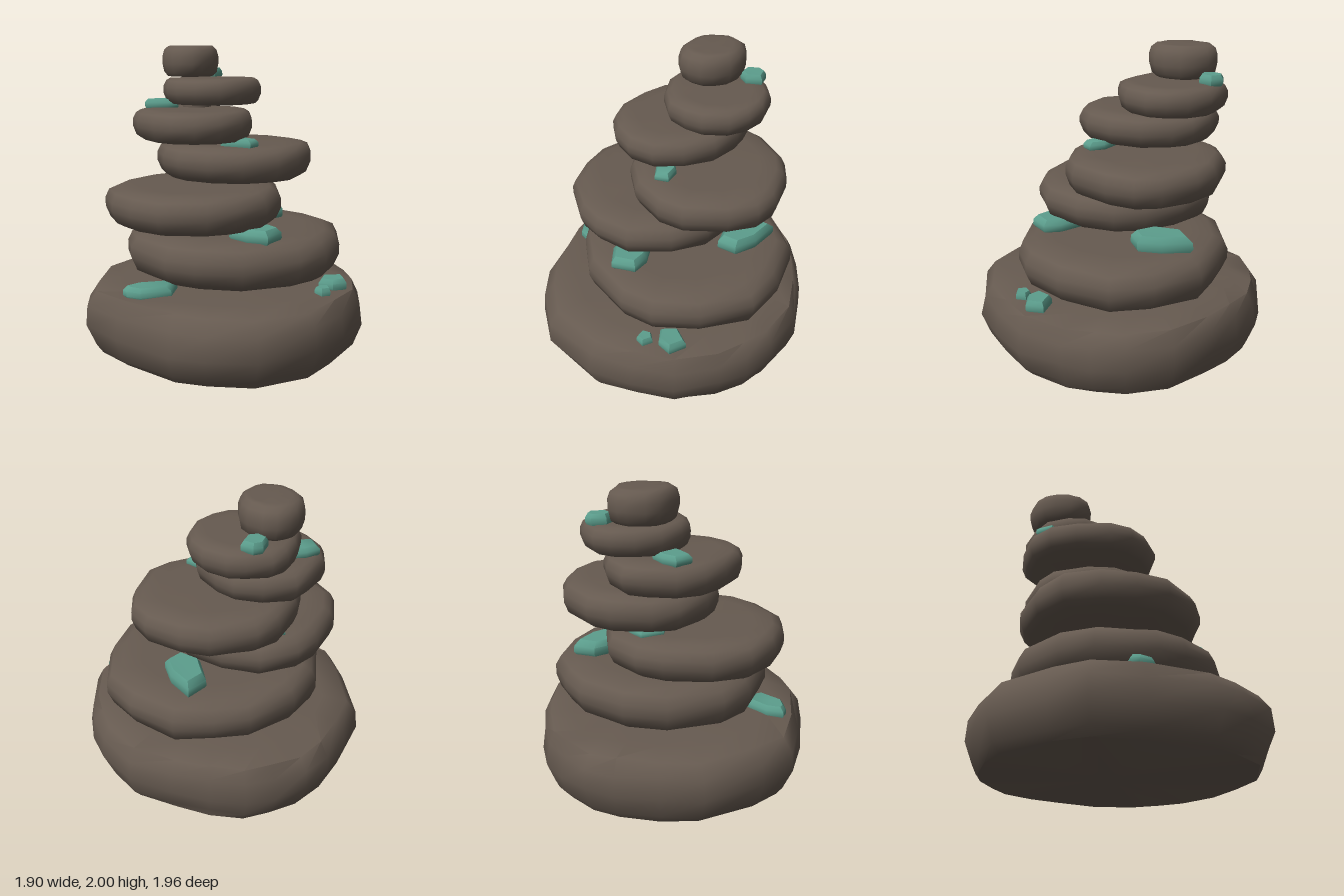
import * as THREE from 'three';
import { toCreasedNormals } from 'three/addons/utils/BufferGeometryUtils.js';

const stoneMat = new THREE.MeshStandardMaterial({ color: 0x665a50 });
stoneMat.name = 'brown stone';
const crystalMat = new THREE.MeshStandardMaterial({ color: 0x5c9e8d });
crystalMat.name = 'teal crystal';

// small seeded number source
function seeded(seed) {
  let s = seed * 7919 + 13;
  return () => (s = (s * 16807) % 2147483647) / 2147483647;
}

// Stacks scaled copies of an outline ([x, z], turning from +x to +z) along a
// profile of [scale, height 0..1]; both ends are closed with a fan.
function loft(outline, profile, y0, y1, crease, wobble = () => 0) {
  const n = outline.length;
  const cx = outline.reduce((s, p) => s + p[0], 0) / n;
  const cz = outline.reduce((s, p) => s + p[1], 0) / n;
  const pos = [], index = [];
  profile.forEach(([r, h], j) => {
    for (const [x, z] of outline) {
      const inner = j > 0 && j < profile.length - 1;
      const k = r < 1 ? r + wobble() : r;
      const dy = inner ? wobble() * 2 : 0;
      pos.push(cx + (x - cx) * k, y0 + (y1 - y0) * Math.min(1, Math.max(0, h + dy)), cz + (z - cz) * k);
    }
  });
  for (let j = 0; j < profile.length - 1; j++) {
    for (let i = 0; i < n; i++) {
      const a = j * n + i, b = j * n + (i + 1) % n;
      index.push(a, a + n, b, b, a + n, b + n);
    }
  }
  const last = (profile.length - 1) * n, low = profile.length * n;
  pos.push(cx, y0, cz, cx, y1 - (y1 - y0) * 0.02, cz);
  for (let i = 0; i < n; i++) {
    const k = (i + 1) % n;
    index.push(low, i, k, low + 1, last + k, last + i);
  }
  const g = new THREE.BufferGeometry();
  g.setAttribute('position', new THREE.Float32BufferAttribute(pos, 3));
  g.setIndex(index);
  return toCreasedNormals(g, crease);
}

// Uneven round outline that exactly fills the given x and z ranges
function pebbleOutline([x0, x1], [z0, z1], seed) {
  const rnd = seeded(seed), pts = [], n = 15;
  for (let i = 0; i < n; i++) {
    const a = ((i + (rnd() - 0.5) * 0.4) / n) * Math.PI * 2;
    const r = 1 + (rnd() - 0.5) * 0.07;
    pts.push([Math.cos(a) * r, Math.sin(a) * r]);
  }
  const fit = (k, lo, hi) => {
    const v = pts.map((p) => p[k]), min = Math.min(...v), max = Math.max(...v);
    pts.forEach((p) => { p[k] = lo + ((p[k] - min) / (max - min)) * (hi - lo); });
  };
  fit(0, x0, x1);
  fit(1, z0, z1);
  return pts;
}

const baseOutline = [
  [0.95, 0], [0.92, 0.2], [0.82, 0.49], [0.62, 0.7], [0.39, 0.88], [0, 0.98], [-0.3, 0.89],
  [-0.5, 0.78], [-0.78, 0.43], [-0.95, 0.15], [-0.93, -0.1], [-0.82, -0.51], [-0.63, -0.7],
  [-0.41, -0.88], [-0.22, -0.96], [0, -0.98], [0.19, -0.96], [0.4, -0.85], [0.6, -0.7],
  [0.82, -0.49], [0.93, -0.21],
];
const baseProfile = [[0.9, 0], [0.94, 0.12], [1, 0.45], [0.98, 0.75], [0.92, 0.95], [0.74, 1]];
const pebbleProfile = [[0.87, 0], [0.95, 0.12], [1, 0.42], [1, 0.65], [0.95, 0.88], [0.86, 0.98], [0.66, 1]];
const crownProfile = [[0.8, 0], [0.93, 0.12], [1, 0.4], [1, 0.65], [0.93, 0.87], [0.78, 0.98], [0.6, 1]];
const crystalProfile = [[0.9, 0], [1, 0.25], [0.98, 0.65], [0.78, 1]];

// Stones above the base: x range, y range, z range
const stones = [
  [[-0.64, 0.84], [0.50, 0.79], [-0.75, 0.64]],
  [[-0.79, 0.39], [0.85, 1.09], [-0.60, 0.58]],
  [[-0.41, 0.67], [1.12, 1.35], [-0.71, 0.31]],
  [[-0.58, 0.23], [1.38, 1.58], [-0.64, 0.28]],
  [[-0.35, 0.33], [1.605, 1.78], [-0.70, 0.01]],
  [[-0.35, 0.04], [1.79, 2.0], [-0.62, -0.17]],
];

// Crystals: y range, then outline corners
const crystals = [
  [0.43, 0.51, [[-0.36, 0.24], [-0.42, 0.4], [-0.62, 0.42], [-0.7, 0.36], [-0.72, 0.31], [-0.62, 0.25]]],
  [0.43, 0.51, [[0.73, 0.34], [0.72, 0.46], [0.62, 0.48], [0.54, 0.42], [0.6, 0.32]]],
  [0.43, 0.49, [[0.58, 0.5], [0.57, 0.57], [0.51, 0.58], [0.48, 0.52], [0.53, 0.48]]],
  [0.78, 0.87, [[0.24, 0.34], [0.28, 0.45], [0.16, 0.56], [0.04, 0.48], [-0.04, 0.35], [0.08, 0.2]]],
  [0.78, 0.89, [[0.48, -0.36], [0.47, -0.2], [0.35, -0.14], [0.25, -0.27], [0.28, -0.48], [0.42, -0.55]]],
  [1.07, 1.13, [[-0.02, -0.4], [-0.06, -0.28], [-0.2, -0.26], [-0.29, -0.36], [-0.24, -0.5], [-0.1, -0.49]]],
  [1.34, 1.4, [[0.15, 0.06], [0.2, 0.15], [0.13, 0.21], [0.02, 0.13], [-0.04, 0.08], [0.04, 0.01]]],
  [1.57, 1.635, [[-0.27, -0.43], [-0.26, -0.3], [-0.34, -0.28], [-0.49, -0.31], [-0.48, -0.43], [-0.38, -0.45]]],
  [1.77, 1.84, [[0.11, -0.6], [0.04, -0.52], [-0.03, -0.53], [-0.06, -0.6], [0, -0.67], [0.06, -0.67]]],
];

// Small stones bridging the gaps: centre x, z, radii x, z, y range
const bridges = [
  [0.06, 0.06, 0.23, 0.2, 0.42, 0.53],
  [-0.12, -0.36, 0.1, 0.09, 1.55, 1.63],
];

export function createModel() {
  const model = new THREE.Group();
  model.name = 'stoneStack';
  const add = (name, geometry, material) => {
    const mesh = new THREE.Mesh(geometry, material);
    mesh.name = name;
    model.add(mesh);
  };

  // Wide flat base stone
  const baseRnd = seeded(5);
  add('baseStone', loft(baseOutline, baseProfile, 0, 0.45, 0.9, () => (baseRnd() - 0.5) * 0.025), stoneMat);

  // Balanced stones
  stones.forEach(([xr, yr, zr], i) => {
    const rnd = seeded(i + 21);
    const top = i === stones.length - 1;
    const shape = loft(pebbleOutline(xr, zr, i + 3), top ? crownProfile : pebbleProfile,
      yr[0], yr[1], 0.9, () => (rnd() - 0.5) * 0.02);
    add(top ? 'topStone' : `stone${i + 2}`, shape, stoneMat);
  });

  // Bridging stones
  bridges.forEach(([x, z, rx, rz, y0, y1], i) => {
    const outline = pebbleOutline([x - rx, x + rx], [z - rz, z + rz], i + 40);
    add(`bridgeStone${i + 1}`, loft(outline, [[0.95, 0], [1, 0.5], [0.95, 1]], y0, y1, 0.9), stoneMat);
  });

  // Crystals resting on the ledges
  crystals.forEach(([y0, y1, outline], i) => {
    add(`crystal${i + 1}`, loft(outline, crystalProfile, y0, y1, 0.8), crystalMat);
  });
  return model;
}
